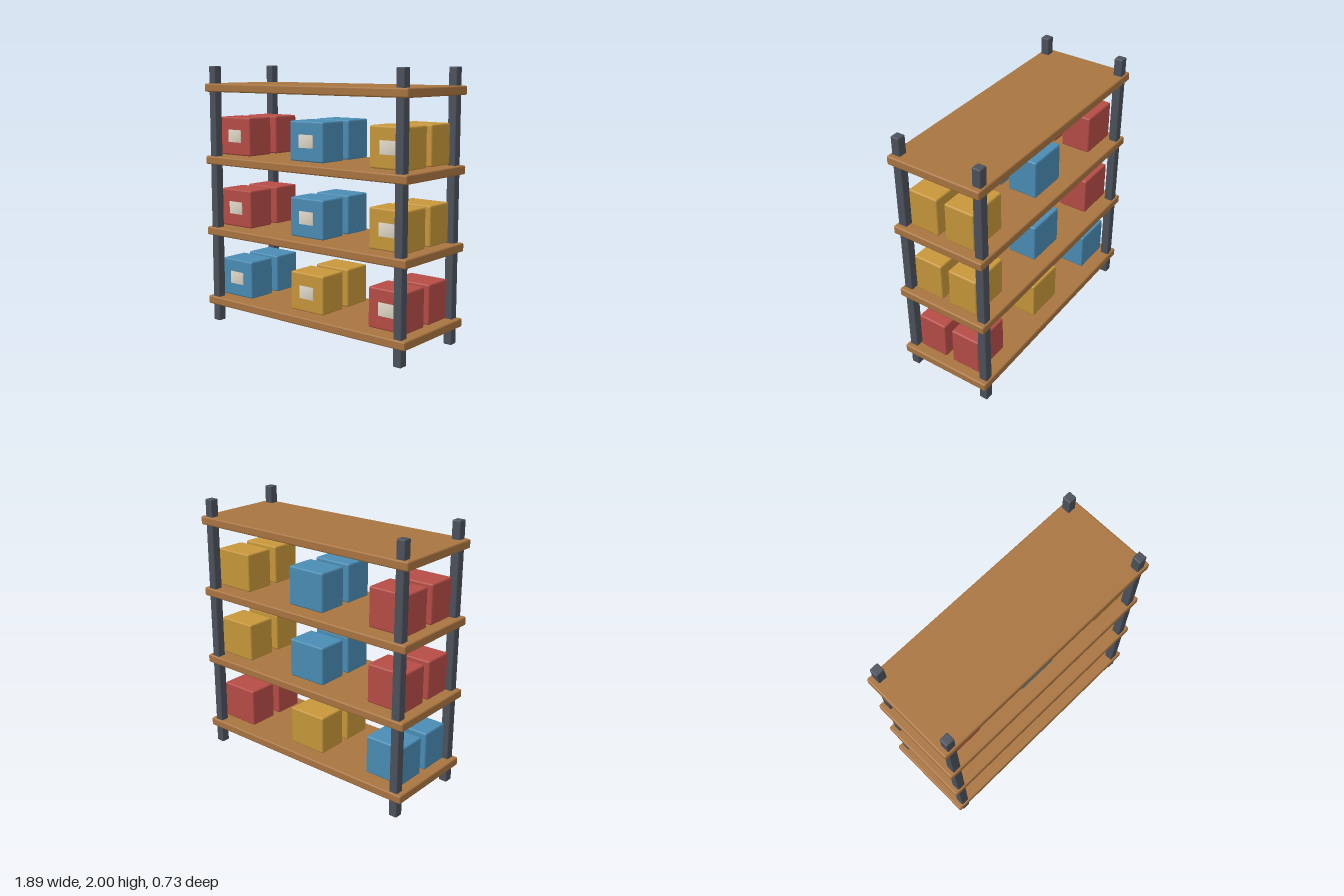
import * as THREE from 'three';
import { RoundedBoxGeometry } from 'three/addons/geometries/RoundedBoxGeometry.js';
import { mergeVertices } from 'three/addons/utils/BufferGeometryUtils.js';

const paint = (name, color) => {
  const material = new THREE.MeshStandardMaterial({ color });
  material.name = name;
  return material;
};

// Box whose corners share averaged normals, for a soft pillow look
function softBox(w, h, d) {
  const geometry = new THREE.BoxGeometry(w, h, d);
  geometry.deleteAttribute('normal');
  geometry.deleteAttribute('uv');
  const merged = mergeVertices(geometry);
  merged.computeVertexNormals();
  return merged;
}

export function createModel() {
  const wood = paint('wood', 0xa87440);
  const steel = paint('steel', 0x4b515b);
  const red = paint('red', 0xb54c46);
  const blue = paint('blue', 0x4a8cb4);
  const ochre = paint('ochre', 0xc6963a);
  const paper = paint('label paper', 0xded6c6);

  const model = new THREE.Group();
  model.name = 'storageRack';
  const add = (parent, name, geometry, material, x, y, z) => {
    const mesh = new THREE.Mesh(geometry, material);
    mesh.name = name;
    mesh.position.set(x, y, z);
    parent.add(mesh);
  };

  // Corner posts
  const postGeometry = new RoundedBoxGeometry(0.067, 2, 0.067, 2, 0.008);
  for (const x of [-0.872, 0.872]) {
    for (const z of [-0.318, 0.318]) {
      add(model, (z > 0 ? 'front' : 'back') + (x > 0 ? 'Left' : 'Right') + 'Post',
        postGeometry, steel, x, 1, z);
    }
  }

  // Four shelves
  const shelfGeometry = new RoundedBoxGeometry(1.89, 0.064, 0.733, 2, 0.012);
  const firstShelf = 0.162, spacing = 0.558;
  for (let i = 0; i < 4; i++) {
    add(model, `shelf${i + 1}`, shelfGeometry, wood, 0, firstShelf + i * spacing, 0);
  }

  // Two rows of labelled bins on the lower three shelves
  const binGeometry = new RoundedBoxGeometry(0.313, 0.292, 0.234, 2, 0.013);
  const labelGeometry = softBox(0.128, 0.095, 0.0098);
  const binColors = [[blue, ochre, red], [red, blue, ochre], [red, blue, ochre]];
  binColors.forEach((row, level) => {
    row.forEach((material, column) => {
      for (const z of [0.147, -0.145]) {
        const bin = new THREE.Group();
        bin.name = (z > 0 ? 'front' : 'back') + `Bin${level + 1}_${column + 1}`;
        bin.position.set((column - 1) * 0.72, firstShelf + level * spacing + 0.188, z);
        add(bin, 'binBody', binGeometry, material, 0, 0, 0);
        add(bin, 'binLabel', labelGeometry, paper, 0, 0.002, 0.122);
        model.add(bin);
      }
    });
  });

  return model;
}
